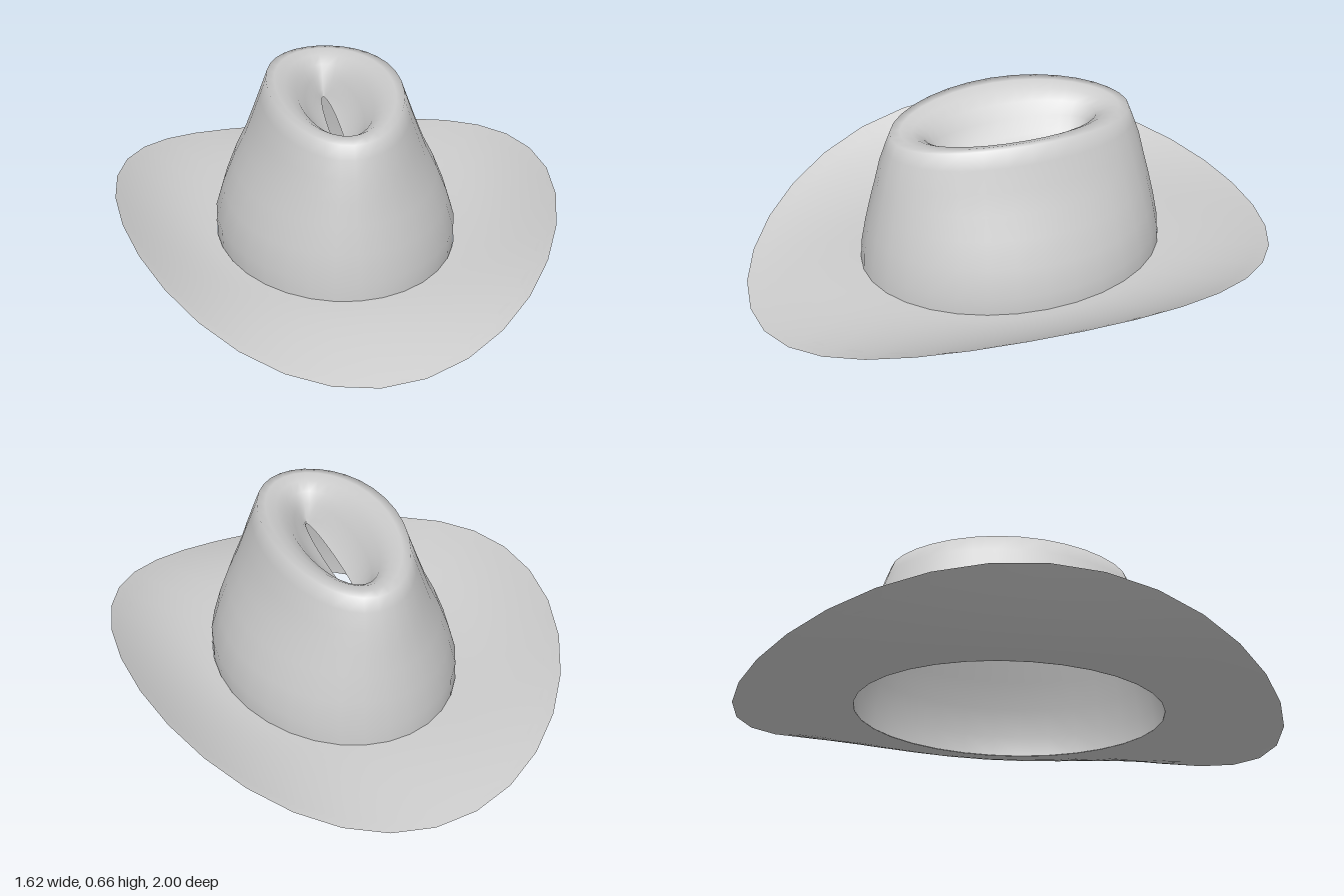
import * as THREE from 'three';

const SEGMENTS = 32;

// Joins rings of points into one smooth surface; pointAt(ring, angle) gives [x, y, z].
function loft(name, ringCount, pointAt, material) {
  const positions = [], index = [];
  for (let i = 0; i < ringCount; i++) {
    for (let j = 0; j < SEGMENTS; j++) {
      positions.push(...pointAt(i, (j / SEGMENTS) * Math.PI * 2));
    }
  }
  for (let i = 0; i < ringCount - 1; i++) {
    for (let j = 0; j < SEGMENTS; j++) {
      const k = (j + 1) % SEGMENTS;
      const a = i * SEGMENTS + j, b = a + SEGMENTS;
      const c = i * SEGMENTS + k, d = c + SEGMENTS;
      index.push(a, b, c, b, d, c);
    }
  }
  const geometry = new THREE.BufferGeometry();
  geometry.setAttribute('position', new THREE.Float32BufferAttribute(positions, 3));
  geometry.setIndex(index);
  geometry.computeVertexNormals();
  const mesh = new THREE.Mesh(geometry, material);
  mesh.name = name;
  return mesh;
}

// Brim point: t runs from the crown (0) to the outer edge (1).
function brimPoint(t, angle, thickness) {
  const x = Math.cos(angle) * THREE.MathUtils.lerp(0.44, 0.81, t);
  const z = Math.sin(angle) * THREE.MathUtils.lerp(0.57, 1, t);
  // Sides curl up, front and back dip, the front a little lower.
  const s = Math.sin(angle);
  const edge = 0.26 - (s > 0 ? 0.26 : 0.22) * s * s;
  const y = 0.082 + (edge - 0.082) * Math.pow(t, 1.75) - thickness * (1 - t);
  return [x, y, z];
}

export function createModel() {
  const hat = new THREE.Group();
  hat.name = 'hat';
  const felt = new THREE.MeshStandardMaterial({ color: 0xcccccc, side: THREE.DoubleSide });
  felt.name = 'grey felt';

  // Crown rings: half width, half length, height, extra height at the sides
  const crown = [
    [0.438, 0.57, 0.07, 0],
    [0.44, 0.565, 0.15, 0],
    [0.41, 0.547, 0.25, 0],
    [0.37, 0.525, 0.35, 0],
    [0.33, 0.506, 0.43, 0],
    [0.297, 0.488, 0.51, 0.005],
    [0.268, 0.466, 0.575, 0.02],
    [0.245, 0.447, 0.625, 0.035],
    // Dent in the top
    [0.215, 0.41, 0.63, 0.025],
    [0.175, 0.365, 0.622, 0.015],
    [0.135, 0.325, 0.6, 0.008],
    [0.1, 0.3, 0.56, 0],
    [0.06, 0.285, 0.51, 0],
    [0.022, 0.28, 0.485, 0],
  ];
  hat.add(loft('crown', crown.length, (i, angle) => {
    const [rx, rz, y, lift] = crown[i];
    const c = Math.cos(angle);
    return [c * rx, y + lift * c * c, Math.sin(angle) * rz];
  }, felt));

  // Brim: upper and lower skins that meet at the outer edge
  const steps = 10;
  hat.add(loft('brimTop', steps + 1, (i, a) => brimPoint(1 - i / steps, a, 0), felt));
  hat.add(loft('brimUnderside', steps + 1, (i, a) => brimPoint(i / steps, a, 0.012), felt));

  return hat;
}
